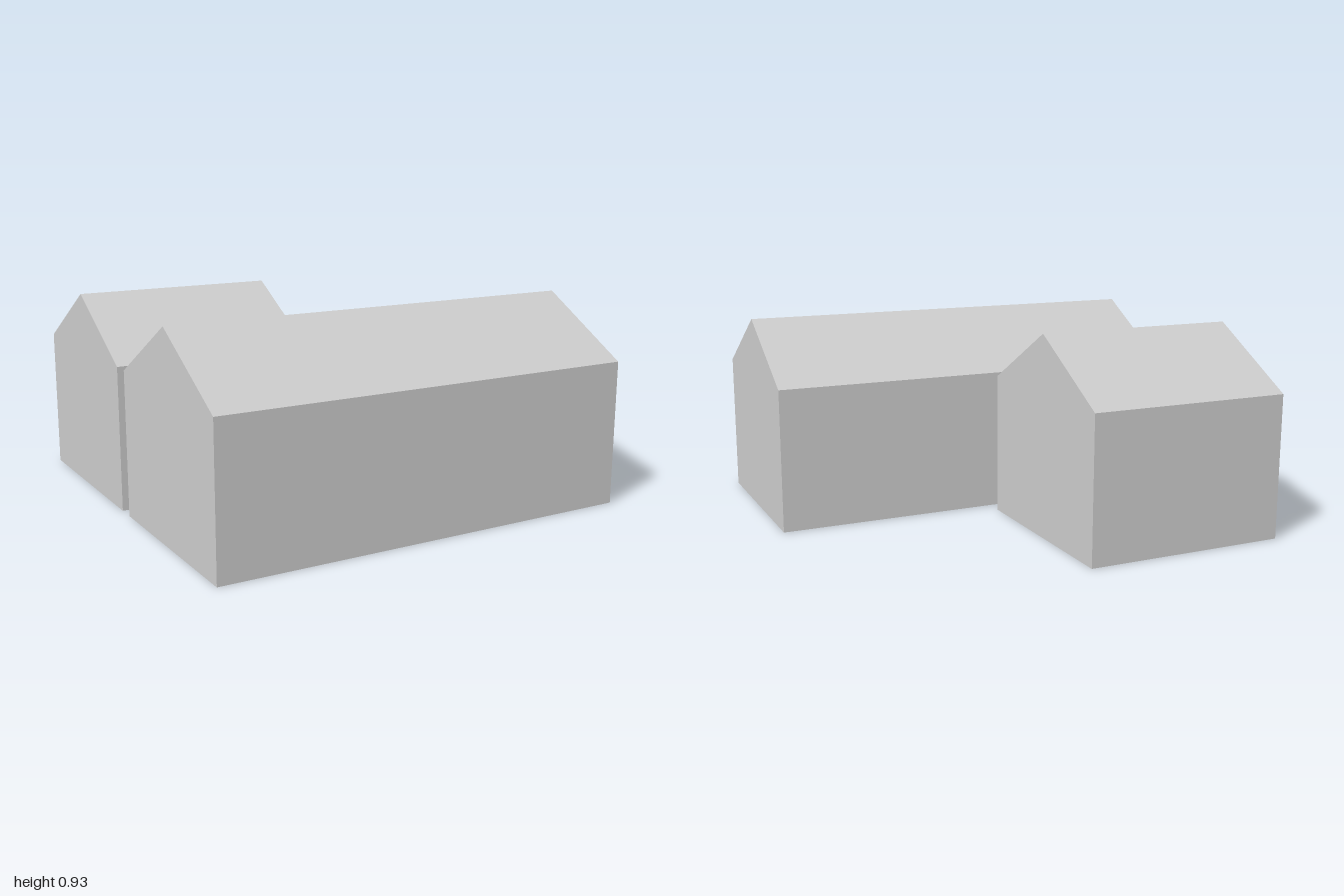
import * as THREE from 'three';

const EAVES = 0.667, RIDGE = 0.932, HALF_DEPTH = 0.464;

const plaster = new THREE.MeshStandardMaterial({ color: 0xcccccc, side: THREE.DoubleSide, flatShading: true });
plaster.name = 'light grey plaster';

function part(name, geometry) {
  const mesh = new THREE.Mesh(geometry, plaster);
  mesh.name = name;
  return mesh;
}

// Hollow gabled building, open underneath, with its ridge along x
function building(name, length, x, z) {
  const group = new THREE.Group();
  group.name = name;
  group.position.set(x, 0, z);

  // Pentagonal end wall, drawn across the depth
  const outline = new THREE.Shape([
    new THREE.Vector2(-HALF_DEPTH, 0),
    new THREE.Vector2(HALF_DEPTH, 0),
    new THREE.Vector2(HALF_DEPTH, EAVES),
    new THREE.Vector2(0, RIDGE),
    new THREE.Vector2(-HALF_DEPTH, EAVES),
  ]);
  const rise = RIDGE - EAVES;
  const slope = Math.hypot(rise, HALF_DEPTH);
  const tilt = -Math.atan2(HALF_DEPTH, rise);

  for (const side of [1, -1]) {
    const gable = part(side > 0 ? 'leftGable' : 'rightGable', new THREE.ShapeGeometry(outline));
    gable.rotation.y = side * Math.PI / 2;
    gable.position.x = side * length / 2;
    group.add(gable);

    // One long wall and one roof slope, turned round for the back
    const half = new THREE.Group();
    half.name = side > 0 ? 'frontHalf' : 'backHalf';
    half.rotation.y = side > 0 ? 0 : Math.PI;
    const wall = part('longWall', new THREE.PlaneGeometry(length, EAVES));
    wall.position.set(0, EAVES / 2, HALF_DEPTH);
    const roof = part('roofSlope', new THREE.PlaneGeometry(length, slope));
    roof.rotation.x = tilt;
    roof.position.set(0, (EAVES + RIDGE) / 2, HALF_DEPTH / 2);
    half.add(wall, roof);
    group.add(half);
  }
  return group;
}

export function createModel() {
  const model = new THREE.Group();
  model.name = 'gabledBuildings';
  model.add(
    building('longFrontBuilding', 2, 0, 0.506),
    building('shortBackBuilding', 0.954, -0.523, -0.506),
  );
  return model;
}
